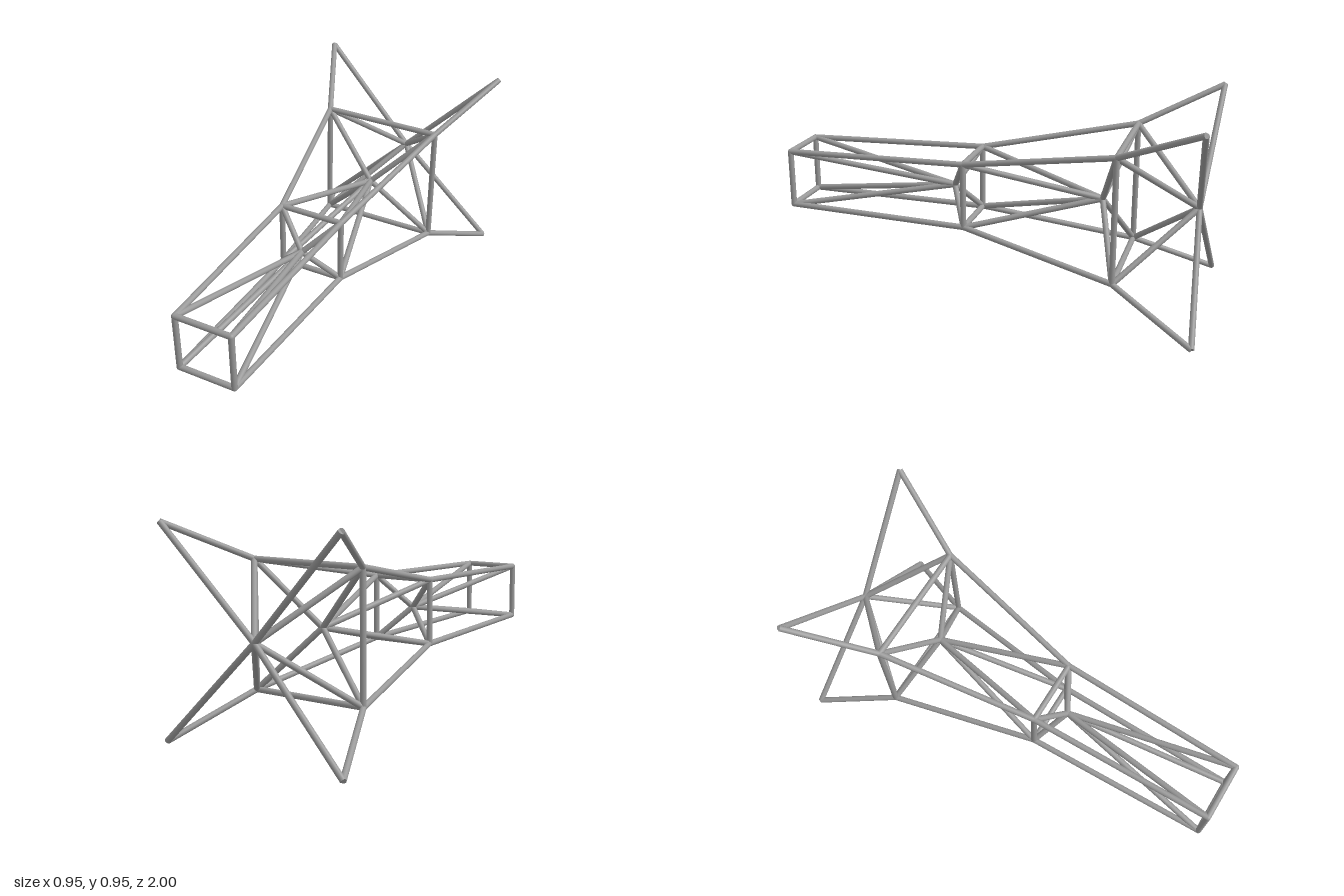
import * as THREE from 'three';

export function createModel() {
  const group = new THREE.Group();
  const steel = new THREE.MeshStandardMaterial({ color: 0x999999 });
  steel.name = 'grey steel';
  const R = 0.0135, CY = 0.475;
  const up = new THREE.Vector3(0, 1, 0);

  // Round tube between two points
  function tube(name, a, b) {
    const d = b.clone().sub(a);
    const mesh = new THREE.Mesh(new THREE.CylinderGeometry(R, R, d.length(), 16), steel);
    mesh.position.copy(a).add(b).multiplyScalar(0.5);
    mesh.quaternion.setFromUnitVectors(up, d.normalize());
    mesh.name = name;
    group.add(mesh);
  }

  // Rounded weld where tubes meet
  function joint(p) {
    const mesh = new THREE.Mesh(new THREE.SphereGeometry(R, 16, 10), steel);
    mesh.position.copy(p);
    mesh.name = 'joint';
    group.add(mesh);
  }

  // Four corners of a square station: half width, z
  const station = (h, z) => [[1, 1], [-1, 1], [-1, -1], [1, -1]]
    .map(([x, y]) => new THREE.Vector3(x * h, CY + y * h, z));

  const front = station(0.133, 0.986);
  const middle = station(0.152, 0.11);
  const rear = station(0.288, -0.615);
  const tips = station(0.462, -0.988);
  const frontHub = new THREE.Vector3(0, CY, 0.2);
  const middleHub = new THREE.Vector3(0, CY, -0.51);
  const rearHub = new THREE.Vector3(0, CY, -0.946);

  for (let i = 0; i < 4; i++) {
    // Square frames
    for (const [name, s] of [['frontFrame', front], ['middleFrame', middle], ['rearFrame', rear]]) {
      tube(name, s[i], s[(i + 1) % 4]);
      joint(s[i]);
    }
    // Corner rails running front to back, ending in the flared tips
    tube('frontRail', front[i], middle[i]);
    tube('middleRail', middle[i], rear[i]);
    tube('tipRail', rear[i], tips[i]);
    // Diagonal braces meeting at the central hubs
    tube('frontBrace', front[i], frontHub);
    tube('frontHubBrace', middle[i], frontHub);
    tube('middleBrace', middle[i], middleHub);
    tube('middleHubBrace', rear[i], middleHub);
    tube('rearBrace', rear[i], rearHub);
    tube('tipBrace', tips[i], rearHub);
  }
  [frontHub, middleHub, rearHub].forEach(joint);
  return group;
}
